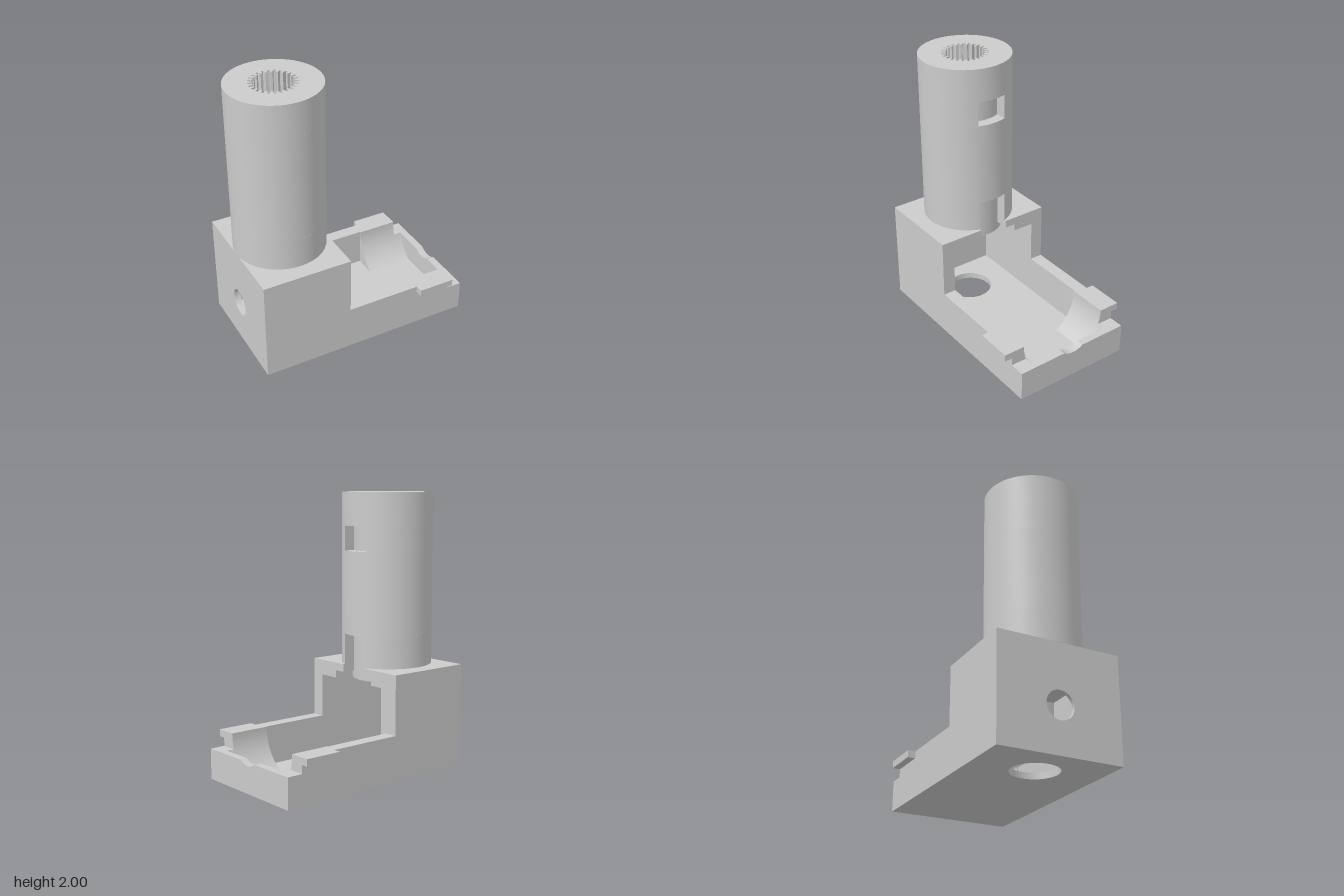
import * as THREE from 'three';
import { toCreasedNormals } from 'three/addons/utils/BufferGeometryUtils.js';

const X0 = -0.795, X1 = 0.795, W = 0.445;   // body ends and half width
const STEP = -0.14;                         // front of the tall housing
const CX = -0.467, R = 0.329, CORE = 0.25;  // column axis, radius, window depth
const FLOOR = 0.045, AXIS = 0.33;           // pocket floor, cradle axis height
const POCKET = 0.35;

export function createModel() {
  const model = new THREE.Group();
  const material = new THREE.MeshStandardMaterial({ color: 0xcccccc });

  const add = (name, geometry) => {
    const mesh = new THREE.Mesh(geometry, material);
    mesh.name = name;
    model.add(mesh);
  };
  const box = (name, x0, x1, y0, y1, z0, z1) => {
    const g = new THREE.BoxGeometry(x1 - x0, y1 - y0, z1 - z0);
    add(name, g.translate((x0 + x1) / 2, (y0 + y1) / 2, (z0 + z1) / 2));
  };
  const extrude = (shape, depth) =>
    new THREE.ExtrudeGeometry(shape, { depth, bevelEnabled: false, curveSegments: 40 });
  // Plan outline raised from y0 to y1
  const layer = (name, shape, y0, y1) => add(name,
    toCreasedNormals(extrude(shape, y1 - y0).rotateX(-Math.PI / 2).translate(0, y0, 0), 0.5));
  // Cross-section swept from x0 to x1
  const section = (name, shape, x0, x1) => add(name,
    toCreasedNormals(extrude(shape, x1 - x0).rotateY(Math.PI / 2).translate(x0, 0, 0), 0.5));

  const polygon = (points) => new THREE.Shape(points.map(([x, y]) => new THREE.Vector2(x, y)));
  const circle = (x, y, r) => new THREE.Path().absarc(x, y, r, 0, Math.PI * 2, true);
  const withHole = (shape, hole) => {
    shape.holes.push(hole);
    return shape;
  };

  // Toothed socket outline
  const spline = () => {
    const teeth = 25, pts = [];
    for (let i = 0; i < teeth; i++) {
      [[0, 0.138], [0.36, 0.138], [0.5, 0.167], [0.86, 0.167]].forEach(([t, r]) => {
        const a = -((i + t) / teeth) * Math.PI * 2;
        pts.push(new THREE.Vector2(CX + r * Math.cos(a), r * Math.sin(a)));
      });
    }
    return new THREE.Path(pts);
  };
  // Column outlines: plain, and cut by a window
  const roundPlan = () => new THREE.Shape().absarc(CX, 0, R, 0, Math.PI * 2, false);
  const windowPlan = (half) => {
    const a = Math.asin(half / R), b = Math.asin(half / CORE);
    const s = new THREE.Shape();
    s.absarc(CX, 0, R, a, Math.PI * 2 - a, false);
    s.absarc(CX, 0, CORE, -b, b, false);
    s.closePath();
    return s;
  };
  // Housing roof outline with a slot in its front edge
  const roofPlan = (half) => {
    const b = Math.asin(half / CORE);
    const s = new THREE.Shape();
    s.moveTo(STEP, half);
    s.lineTo(STEP, W);
    s.lineTo(X0, W);
    s.lineTo(X0, -W);
    s.lineTo(STEP, -W);
    s.lineTo(STEP, -half);
    s.absarc(CX, 0, CORE, -b, b, false);
    s.closePath();
    return s;
  };
  const bore = () => circle(CX, 0, 0.073);

  // Floor plate with the round opening
  layer('floorPlate', withHole(
    polygon([[X0, -W], [X1, -W], [X1, W], [X0, W]]), circle(CX, 0, 0.165)), 0, FLOOR);

  // Back wall, its hole wider on the inside
  const wall = () => polygon([[-W, FLOOR], [W, FLOOR], [W, 0.645], [-W, 0.645]]);
  section('backWallOuter', withHole(wall(), circle(0, AXIS, 0.1)), X0, -0.768);
  section('backWallInner', withHole(wall(), circle(0, AXIS, 0.128)), -0.768, -0.74);

  // Housing roof with a stepped slot
  layer('roofLower', withHole(roofPlan(0.19), bore()), 0.645, 0.7);
  layer('roofUpper', withHole(roofPlan(0.11), bore()), 0.7, 0.757);

  // Column, stacked around its two windows
  layer('columnLowerWindow', withHole(windowPlan(0.11), bore()), 0.757, 0.98);
  layer('columnMiddle', withHole(roundPlan(), spline()), 0.98, 1.583);
  layer('columnUpperWindow', withHole(windowPlan(0.11), spline()), 1.583, 1.76);
  layer('columnTop', withHole(roundPlan(), spline()), 1.76, 2);

  // Mirrored sides: housing walls, bed rails, cradles and tabs
  const cradle = (s, top) => {
    const r = 0.343, a0 = Math.asin((top - AXIS) / r), a1 = Math.asin((FLOOR - AXIS) / r);
    const pts = [[s * W, FLOOR], [s * W, top]];
    for (let i = 0; i <= 16; i++) {
      const a = a0 + (a1 - a0) * i / 16;
      pts.push([s * r * Math.cos(a), AXIS + r * Math.sin(a)]);
    }
    return polygon(pts);
  };
  for (const s of [-1, 1]) {
    const [z0, z1] = s > 0 ? [POCKET, W] : [-W, -POCKET];
    box('housingSide', -0.74, STEP, FLOOR, 0.645, z0, z1);
    box('bedRail', STEP, 0.385, FLOOR, AXIS, z0, z1);
    section('cradle', cradle(s, AXIS), 0.385, 0.682);
    section('cradleEnd', cradle(s, 0.22), 0.682, 0.74);
    const [t0, t1] = s > 0 ? [W, 0.5] : [-0.5, -W];
    box('sideTab', 0.41, 0.682, 0.28, AXIS, t0, t1);
  }

  // End wall with a round notch
  const notch = 0.136, a = Math.asin((0.22 - AXIS) / notch);
  const end = new THREE.Shape();
  end.moveTo(-W, 0.22);
  end.lineTo(-W, FLOOR);
  end.lineTo(W, FLOOR);
  end.lineTo(W, 0.22);
  end.absarc(0, AXIS, notch, a, -Math.PI - a, true);
  end.closePath();
  section('endWall', end, 0.74, X1);

  return model;
}
